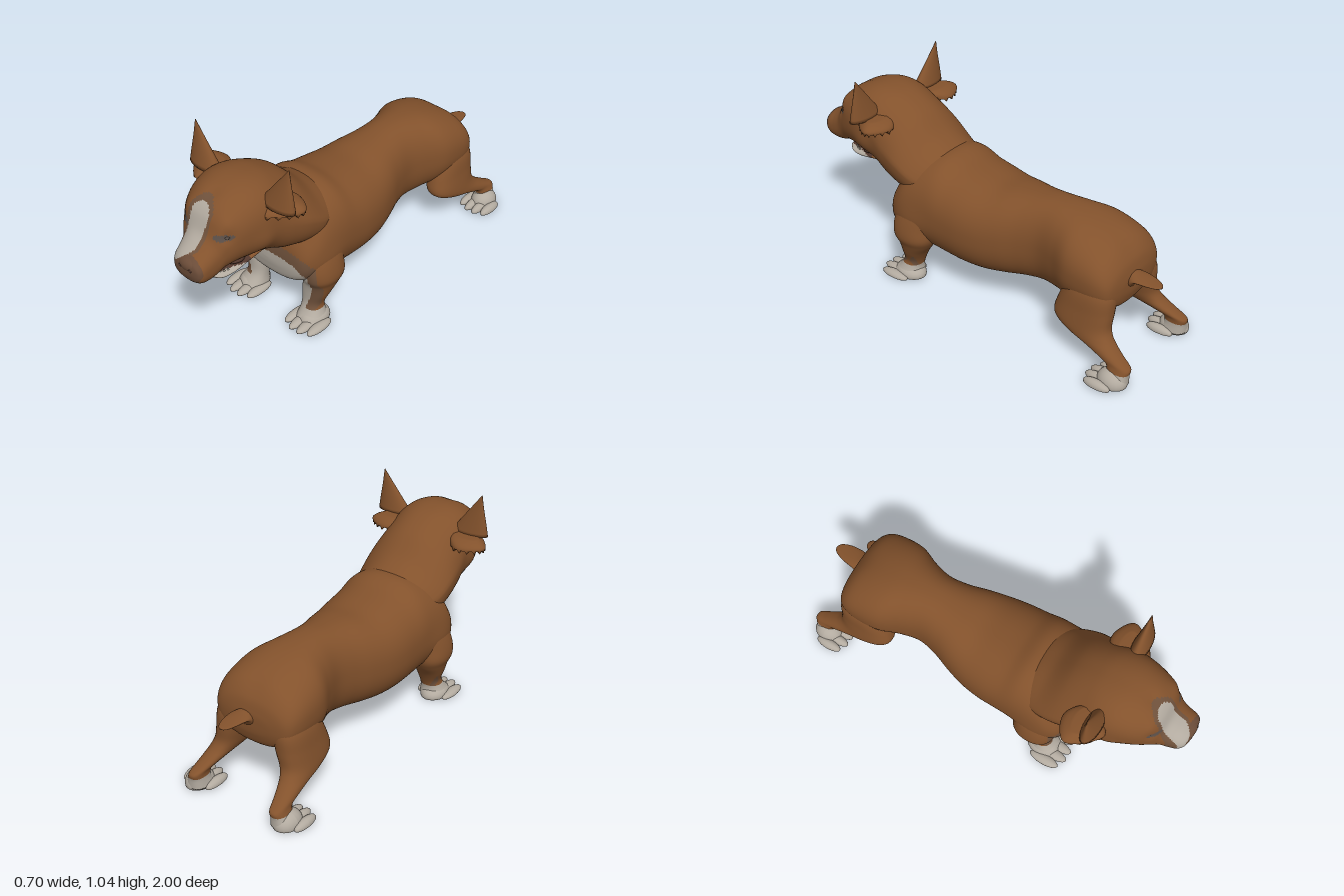
import * as THREE from 'three';

const mat = (name, color) => {
  const m = new THREE.MeshStandardMaterial({ color });
  m.name = name;
  return m;
};

// Catmull-Rom resampling of a table of cross-section stations
function resample(rows, steps) {
  const out = [], last = rows.length - 1;
  for (let k = 0; k <= last * steps; k++) {
    const i = Math.min(Math.floor(k / steps), last - 1), t = k / steps - i;
    const [a, b, c, d] = [i - 1, i, i + 1, i + 2].map(j => rows[Math.max(0, Math.min(last, j))]);
    out.push(b.map((_, n) => 0.5 * (2 * b[n] + (c[n] - a[n]) * t +
      (2 * a[n] - 5 * b[n] + 4 * c[n] - d[n]) * t * t + (3 * b[n] - a[n] - 3 * c[n] + d[n]) * t * t * t)));
  }
  return out;
}

const power = (v, e) => Math.sign(v) * Math.abs(v) ** (2 / e);

// stations along z: [z, top, bottom, half width, x offset, narrowing of the top]
const ringsZ = (rows, steps, seg, e) => resample(rows, steps).map(([z, top, bot, w, xo, taper = 0]) =>
  Array.from({ length: seg }, (_, j) => {
    const t = j / seg * Math.PI * 2, v = power(Math.sin(t), e);
    return new THREE.Vector3(xo + w * (1 - taper * Math.max(0, v)) * power(Math.cos(t), e),
      (top + bot) / 2 + (top - bot) / 2 * v, z);
  }));

// stations along y: [y, centre x, centre z, radius x, radius z], s mirrors in x
const ringsY = (rows, steps, seg, s, e = 2) => resample(rows, steps).map(([y, cx, cz, rx, rz]) =>
  Array.from({ length: seg }, (_, j) => {
    const t = j / seg * Math.PI * 2;
    return new THREE.Vector3(s * (cx + rx * power(Math.cos(t), e)), y, cz + rz * power(Math.sin(t), e));
  }));

// closed smooth skin over rings; paint(centroid) picks the material of each quad
function skin(name, rings, mats, paint = () => 0, bumps = []) {
  const seg = rings[0].length, pts = rings.flat();
  const mean = list => list.reduce((a, p) => a.add(p), new THREE.Vector3()).divideScalar(list.length);
  const centres = rings.map(mean);
  pts.forEach((p, i) => {
    const dir = p.clone().sub(centres[Math.floor(i / seg)]).normalize();
    let push = 0;
    for (const [x, y, z, r, amp] of bumps)
      push += amp * Math.exp(-((p.x - x) ** 2 + (p.y - y) ** 2 + (p.z - z) ** 2) / (r * r));
    p.addScaledVector(dir, push);
  });
  const n = pts.length, tris = [];
  pts.push(centres[0], centres[centres.length - 1]);
  for (let i = 0; i < rings.length - 1; i++) for (let j = 0; j < seg; j++) {
    const a = i * seg + j, b = i * seg + (j + 1) % seg;
    const m = paint(mean([pts[a], pts[b], pts[a + seg], pts[b + seg]]));
    tris.push([a, b, b + seg, m], [a, b + seg, a + seg, m]);
  }
  for (let j = 0; j < seg; j++) {
    const k = (j + 1) % seg;
    tris.push([n, k, j, paint(pts[n])], [n + 1, n - seg + j, n - seg + k, paint(pts[n + 1])]);
  }
  // face outwards whichever way the rings run
  const volume = tris.reduce((v, [a, b, c]) => v + pts[a].dot(pts[b].clone().cross(pts[c])), 0);
  const buckets = mats.map(() => []);
  for (const [a, b, c, m] of tris) buckets[m].push(...(volume > 0 ? [a, b, c] : [a, c, b]));
  const g = new THREE.BufferGeometry().setFromPoints(pts);
  g.setIndex(buckets.flat());
  let start = 0;
  buckets.forEach((b, i) => { if (b.length) g.addGroup(start, b.length, i); start += b.length; });
  g.computeVertexNormals();
  const mesh = new THREE.Mesh(g, mats);
  mesh.name = name;
  return mesh;
}

function blob(name, m, pos, r, floor = -Infinity) {
  const g = new THREE.SphereGeometry(1, 24, 16).scale(...r).translate(...pos);
  const p = g.attributes.position;
  for (let i = 0; i < p.count; i++) p.setY(i, Math.max(p.getY(i), floor));
  g.computeVertexNormals();
  const mesh = new THREE.Mesh(g, m);
  mesh.name = name;
  return mesh;
}

export function createModel() {
  const coat = mat('brown coat', 0x83522c), white = mat('white fur', 0xb3aba0);
  const edge = mat('blended fur', 0x6f513b), muzzle = mat('muzzle brown', 0x6b4c38);
  const eye = mat('eye grey', 0x5b4f48), pad = mat('paw pad', 0x7a6f66);
  const mouth = mat('mouth', 0x50362c), tooth = mat('tooth', 0xa59b8c);
  const dog = new THREE.Group();
  dog.name = 'dog';

  // white bib with a blended border, shared by the chest and front legs
  const bib = ({ x, y, z }) => {
    if (y < 0.075) return 1;
    const a = Math.abs(x), zMin = y > 0.2 ? 0.355 : 0.315, slim = Math.max(0, 0.2 - y) * 0.3;
    const d = (rx, ry) => (a / (rx - slim)) ** 4 + (Math.max(0, y - 0.2) / ry) ** 4;
    if (d(0.218, 0.178) < 1 && z > zMin) return 1;
    return d(0.265, 0.237) < 1 && z > zMin - 0.02 ? 2 : 0;
  };

  // torso with shoulder bulges
  dog.add(skin('body', ringsZ([
    [0.468, 0.37, 0.34, 0.015, 0], [0.462, 0.43, 0.3, 0.14, 0], [0.445, 0.5, 0.245, 0.215, 0],
    [0.4, 0.58, 0.208, 0.25, 0],
    [0.33, 0.66, 0.188, 0.265, 0], [0.2, 0.69, 0.17, 0.265, 0], [0.1, 0.658, 0.163, 0.262, 0],
    [0, 0.64, 0.16, 0.258, 0], [-0.1, 0.63, 0.165, 0.243, 0], [-0.2, 0.64, 0.18, 0.215, 0],
    [-0.3, 0.65, 0.2, 0.18, 0], [-0.4, 0.66, 0.215, 0.164, 0], [-0.5, 0.66, 0.222, 0.188, 0],
    [-0.6, 0.648, 0.235, 0.23, 0], [-0.7, 0.62, 0.245, 0.238, 0], [-0.78, 0.58, 0.265, 0.228, 0],
    [-0.83, 0.52, 0.29, 0.195, 0], [-0.85, 0.46, 0.34, 0.12, 0], [-0.855, 0.42, 0.38, 0.02, 0]],
  7, 96, 2.3), [coat, white, edge], bib,
  [[-0.27, 0.34, 0.3, 0.1, 0.016], [0.27, 0.34, 0.3, 0.1, 0.016], [0, 0.6, -0.83, 0.07, -0.01]]));
  dog.add(blob('bellyFold', coat, [0, 0.213, -0.36], [0.028, 0.024, 0.075]));

  // head: blaze, muzzle and eye markings are painted on the front faces
  const narrow = y => Math.min(1, Math.max(0, (0.69 - y) / 0.06));
  const inBlaze = (x, y, grow) => {
    const end = Math.max(0, y - 0.81) / (0.045 + grow);
    if (end >= 1 || y < 0.6 - grow) return false;
    const cap = Math.sqrt(1 - end * end), n = narrow(y);
    return x > -0.004 - (0.05 + grow) * cap && x < -0.004 + (0.054 - 0.075 * n + grow) * cap;
  };
  const paintHead = ({ x, y, z }) => {
    if (z < 0.74) return 0;
    for (const ex of [-0.09, 0.135])
      if (((x - ex) / 0.036) ** 2 + ((y - 0.747) / 0.015) ** 2 < 1) return 4;
    if (inBlaze(x, y, 0)) return 1;
    if (z > 0.9 && ((x - 0.047) / 0.085) ** 2 + ((y - 0.615) / 0.065) ** 2 < 1) return 3;
    return inBlaze(x, y, 0.02) ? 2 : 0;
  };
  dog.add(skin('head', ringsZ([
    [0.12, 0.59, 0.46, 0.1, 0, 0], [0.2, 0.674, 0.44, 0.19, 0, 0.2], [0.3, 0.738, 0.43, 0.236, 0, 0.32],
    [0.4, 0.832, 0.44, 0.246, 0, 0.32], [0.5, 0.888, 0.462, 0.232, 0, 0.2], [0.58, 0.91, 0.498, 0.217, 0, 0.04],
    [0.66, 0.913, 0.515, 0.21, 0, 0], [0.74, 0.895, 0.54, 0.19, 0.005, 0], [0.8, 0.864, 0.545, 0.165, 0.012, 0],
    [0.845, 0.815, 0.54, 0.138, 0.02, 0], [0.88, 0.742, 0.53, 0.115, 0.03, 0], [0.92, 0.705, 0.527, 0.104, 0.035, 0],
    [0.96, 0.68, 0.537, 0.094, 0.04, 0], [0.985, 0.66, 0.56, 0.075, 0.045, 0], [0.995, 0.635, 0.59, 0.04, 0.047, 0]],
  10, 112, 2.4),
  [coat, white, edge, muzzle, eye], paintHead, [
    [-0.08, 0.8, 0.83, 0.045, 0.012], [0.125, 0.8, 0.83, 0.045, 0.012],
    [-0.1, 0.745, 0.83, 0.03, -0.012], [0.14, 0.745, 0.83, 0.03, -0.012],
    [0, 0.9, 0.78, 0.04, -0.008], [-0.2, 0.66, 0.66, 0.06, 0.008], [0.2, 0.66, 0.66, 0.06, 0.008],
    [-0.18, 0.54, 0.66, 0.06, -0.012], [0.18, 0.54, 0.66, 0.06, -0.012]]));
  for (const [x, name] of [[-0.095, 'rightEye'], [0.135, 'leftEye']])
    dog.add(blob(name, eye, [x, 0.747, 0.828], [0.022, 0.009, 0.014]));

  // nose with nostrils
  dog.add(blob('nose', muzzle, [0.047, 0.635, 0.965], [0.062, 0.037, 0.035]));
  for (const s of [-1, 1]) dog.add(blob('nostril', mouth, [0.047 + s * 0.03, 0.625, 0.99], [0.012, 0.009, 0.008]));

  // open mouth: lower jaw, inner mouth and a curved row of teeth
  dog.add(skin('lowerJaw', ringsZ([
    [0.6, 0.57, 0.51, 0.13, 0], [0.7, 0.535, 0.49, 0.115, 0.003], [0.77, 0.52, 0.474, 0.102, 0.008],
    [0.83, 0.516, 0.478, 0.086, 0.012], [0.868, 0.512, 0.499, 0.05, 0.015]], 8, 48, 2.1),
  [white, mouth, coat], ({ y, z }) => (z < 0.68 ? 2 : y > 0.511 - (z - 0.8) * 0.03 ? 1 : 0)));
  dog.add(blob('innerMouth', mouth, [0.01, 0.53, 0.72], [0.1, 0.024, 0.07]));
  for (let i = 0; i < 13; i++) {
    const t = (i / 12 - 0.5) * 2.6;
    const fang = new THREE.Mesh(new THREE.ConeGeometry(0.006, i === 2 || i === 10 ? 0.022 : 0.012, 8), tooth);
    fang.position.set(0.01 + Math.sin(t) * 0.083, 0.517, 0.765 + Math.cos(t) * 0.085);
    fang.name = 'tooth';
    dog.add(fang);
  }

  // tail stub
  dog.add(skin('tail', ringsZ([
    [-0.81, 0.46, 0.35, 0.045, 0.02], [-0.85, 0.458, 0.38, 0.052, 0.022], [-0.88, 0.452, 0.418, 0.052, 0.024],
    [-0.94, 0.443, 0.432, 0.044, 0.026], [-0.985, 0.438, 0.431, 0.026, 0.027], [-1, 0.435, 0.431, 0.007, 0.027]],
  5, 28, 2), [coat]));

  // flat paw with four toes and pads, origin on the ground under the ankle
  const paw = (name, x, z, sx, sy, sz) => {
    const g = new THREE.Group();
    g.name = name;
    g.add(blob('pawTop', white, [0, 0.012, -0.02], [0.085, 0.045, 0.085], 0.004));
    g.add(blob('heelPad', pad, [0, 0.003, -0.01], [0.078, 0.003, 0.078]));
    for (const i of [-1.5, -0.5, 0.5, 1.5]) {
      const p = [i * 0.06, 0.008, 0.058 - Math.abs(i) * 0.022];
      g.add(blob('toe', white, p, [0.036, 0.019, 0.08], 0.004));
      g.add(blob('toePad', pad, [p[0], 0.003, p[2]], [0.03, 0.003, 0.066]));
    }
    g.position.set(x, 0, z);
    g.scale.set(sx, sy, sz);
    return g;
  };

  for (const s of [-1, 1]) {
    const side = s > 0 ? 'left' : 'right';
    // front leg
    dog.add(skin(side + 'FrontLeg', ringsY([
      [0.5, 0.17, 0.25, 0.05, 0.06], [0.42, 0.195, 0.285, 0.066, 0.105], [0.34, 0.212, 0.305, 0.078, 0.11],
      [0.27, 0.216, 0.305, 0.084, 0.11], [0.22, 0.203, 0.305, 0.079, 0.09], [0.16, 0.19, 0.322, 0.07, 0.066],
      [0.1, 0.182, 0.337, 0.054, 0.052], [0.06, 0.187, 0.35, 0.058, 0.056], [0.015, 0.196, 0.365, 0.074, 0.08]],
    8, 56, s, 2.2), [coat, white, edge], bib));
    dog.add(paw(side + 'FrontPaw', s * 0.2, 0.374, 0.8, 1.1, 1));
    // hind leg stretched backwards
    dog.add(skin(side + 'HindLeg', ringsY([
      [0.46, 0.14, -0.71, 0.06, 0.09], [0.38, 0.158, -0.715, 0.08, 0.125], [0.29, 0.172, -0.7, 0.08, 0.143],
      [0.22, 0.188, -0.697, 0.074, 0.146], [0.18, 0.202, -0.74, 0.063, 0.124], [0.15, 0.214, -0.81, 0.052, 0.09],
      [0.12, 0.226, -0.88, 0.042, 0.07], [0.095, 0.235, -0.93, 0.036, 0.063], [0.06, 0.242, -0.935, 0.042, 0.055],
      [0.015, 0.248, -0.92, 0.055, 0.07]], 6, 40, s, 2.4), [coat, white], ({ y }) => (y < 0.072 ? 1 : 0)));
    dog.add(paw(side + 'HindPaw', s * 0.258, -0.9, 0.74, 1.4, 0.88));
    // pointed ear
    dog.add(skin(side + 'Ear', ringsY([
      [0.822, 0.222, 0.597, 0.1, 0.042], [0.892, 0.243, 0.594, 0.068, 0.028],
      [0.965, 0.264, 0.591, 0.034, 0.014], [1.037, 0.286, 0.588, 0.002, 0.002]], 3, 32, s), [coat]));
    // drooping ear fold: a leaf narrowing outwards with a ragged hem, longer on the right
    const out = s > 0 ? -0.04 : 0;
    const fold = ringsY([
      [0.828, 0.225 + out, 0.56, 0.07, 0.05], [0.815, 0.238 + out, 0.555, 0.09, 0.08],
      [0.798, 0.25 + out, 0.557, 0.098, 0.102], [0.782, 0.25 + out, 0.56, 0.096, 0.108]], 3, 48, s);
    for (const p of fold.flat()) {
      const u = Math.max(0, (Math.abs(p.x) - 0.23 - out) / 0.12);
      p.z = 0.56 + (p.z - 0.56) * (1 - 0.45 * u) - 0.035 * u;
    }
    fold[fold.length - 1].forEach((p, j) => { p.y += j % 3 === 0 ? -0.012 : 0.006; });
    dog.add(skin(side + 'EarFold', fold, [coat]));
  }
  return dog;
}
